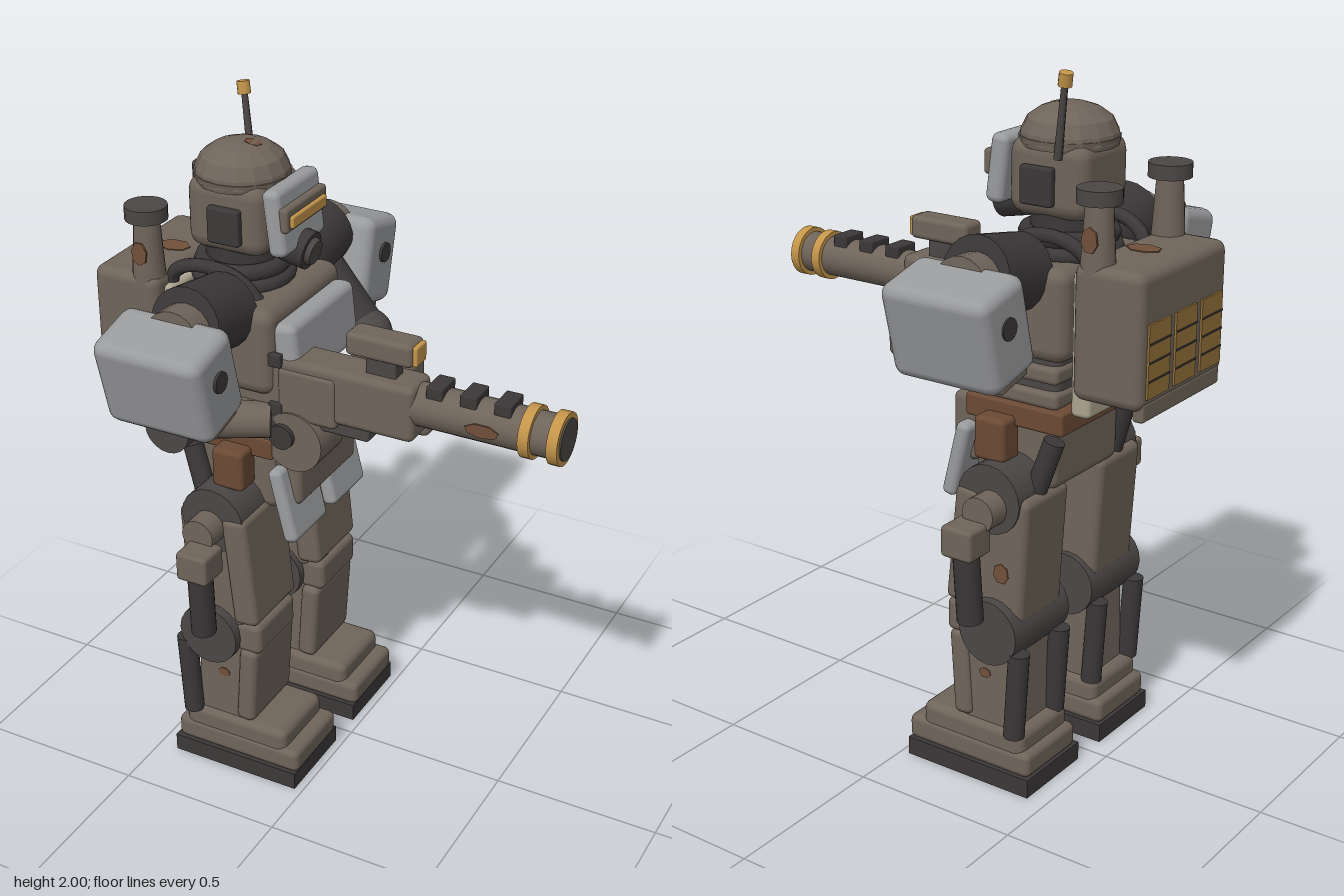
import * as THREE from 'three';
import { RoundedBoxGeometry } from 'three/addons/geometries/RoundedBoxGeometry.js';

const material = (name, color, flatShading = false) => {
  const m = new THREE.MeshStandardMaterial({ color, flatShading });
  m.name = name;
  return m;
};

export function createModel() {
  const root = new THREE.Group();
  root.name = 'armouredMech';
  const drab = material('drabArmour', 0x6f645a);
  const dark = material('darkMetal', 0x3c3839);
  const joint = material('jointMetal', 0x4b4746);
  const pale = material('greyPlate', 0x9a9b9d);
  const brass = material('brass', 0xc4954a);
  const grille = material('grilleBrass', 0x94733a);
  const leather = material('leather', 0x6b4a34);
  const rust = material('rust', 0x71503a);
  const beige = material('beigePad', 0xaca48f);
  const V = (x, y, z) => new THREE.Vector3(x, y, z);

  const add = (name, geo, mat, parent = root) => {
    const mesh = new THREE.Mesh(geo, mat);
    mesh.name = name;
    parent.add(mesh);
    return mesh;
  };
  // Rounded box given by its limits on each axis
  const box = (name, mat, [x0, x1], [y0, y1], [z0, z1], r = 0.02, parent = root) => {
    const w = x1 - x0, h = y1 - y0, d = z1 - z0;
    const rad = Math.min(r, w * 0.45, h * 0.45, d * 0.45);
    const geo = r ? new RoundedBoxGeometry(w, h, d, 2, rad) : new THREE.BoxGeometry(w, h, d);
    const mesh = add(name, geo, mat, parent);
    mesh.position.set((x0 + x1) / 2, (y0 + y1) / 2, (z0 + z1) / 2);
    return mesh;
  };
  // Cylinder or cone between two points
  const rod = (name, mat, a, b, r0, r1 = r0, parent = root, sides = 20) => {
    const p = V(...a), q = V(...b), dir = q.clone().sub(p);
    const mesh = add(name, new THREE.CylinderGeometry(r1, r0, dir.length(), sides), mat, parent);
    mesh.position.copy(p).add(q).multiplyScalar(0.5);
    mesh.quaternion.setFromUnitVectors(V(0, 1, 0), dir.normalize());
    return mesh;
  };
  const tube = (name, mat, points, r, parent = root) =>
    add(name, new THREE.TubeGeometry(new THREE.CatmullRomCurve3(points.map(p => V(...p))), 16, r, 8), mat, parent);
  // Thin irregular patch of rust facing along a normal
  const patch = (p, n, w, h, parent = root) => {
    const d = V(...n).multiplyScalar(0.003);
    const mesh = rod('rustPatch', rust, [p[0] - d.x, p[1] - d.y, p[2] - d.z],
      [p[0] + d.x, p[1] + d.y, p[2] + d.z], 1, 1, parent, 7);
    mesh.scale.set(w, 1, h);
  };

  // Head and helmet
  const head = new THREE.Group();
  head.name = 'head';
  root.add(head);
  box('skull', drab, [-0.455, -0.21], [1.6, 1.81], [-0.12, 0.12], 0.045, head);
  const domeProfile = [[0.135, 0], [0.132, 0.025], [0.115, 0.06], [0.08, 0.085], [0.04, 0.098], [0, 0.1]]
    .map(([x, y]) => new THREE.Vector2(x, y));
  add('helmetDome', new THREE.LatheGeometry(domeProfile, 16).toNonIndexed(), drab, head).position.set(-0.335, 1.795, 0);
  head.children.at(-1).geometry.computeVertexNormals();
  rod('helmetRim', drab, [-0.335, 1.785, 0], [-0.335, 1.81, 0], 0.132, 0.136, head);
  const face = box('facePlate', pale, [-0.205, -0.15], [1.62, 1.81], [-0.118, 0.118], 0.02, head);
  face.rotation.z = 0.12;
  box('visorSurround', drab, [-0.165, -0.135], [1.695, 1.765], [-0.112, 0.112], 0.01, head);
  box('visor', brass, [-0.15, -0.125], [1.707, 1.742], [-0.095, 0.095], 0.006, head);
  rod('breather', dark, [-0.2, 1.625, 0], [-0.125, 1.61, 0], 0.055, 0.055, head);
  rod('breatherCap', joint, [-0.13, 1.611, 0], [-0.11, 1.607, 0], 0.042, 0.035, head);
  for (const s of [-1, 1])
    box('earPlate', dark, [-0.37, -0.27], [1.64, 1.745], [s * 0.13 - 0.013, s * 0.13 + 0.013], 0.008, head);
  rod('antenna', joint, [-0.38, 1.77, -0.125], [-0.413, 1.98, -0.148], 0.012, 0.009, head, 8);
  rod('antennaTip', brass, [-0.411, 1.965, -0.146], [-0.417, 2.0, -0.15], 0.019, 0.019, head, 10);
  patch([-0.3, 1.89, 0.0], [0.2, 1, 0], 0.025, 0.02, head);

  // Neck
  rod('neck', dark, [-0.34, 1.46, 0], [-0.34, 1.62, 0], 0.105);
  for (const [y, r] of [[1.55, 0.115], [1.51, 0.125]]) {
    const ring = add('neckRing', new THREE.TorusGeometry(r, 0.024, 8, 24), dark);
    ring.rotation.x = Math.PI / 2;
    ring.position.set(-0.34, y, 0);
  }

  // Torso and waist
  box('torso', drab, [-0.46, -0.14], [1.24, 1.5], [-0.21, 0.21], 0.04);
  box('abdomen', joint, [-0.42, -0.16], [1.08, 1.27], [-0.17, 0.17], 0.03);
  for (const y of [1.13, 1.2]) box('abdomenBand', drab, [-0.43, -0.14], [y - 0.024, y + 0.024], [-0.19, 0.19], 0.015);
  const chest = box('chestPlate', pale, [-0.15, -0.075], [1.27, 1.46], [-0.18, 0.18], 0.025);
  chest.rotation.z = 0.1;
  box('belt', leather, [-0.46, -0.145], [1.045, 1.11], [-0.205, 0.205], 0.008);
  box('pelvis', drab, [-0.41, -0.15], [0.86, 1.06], [-0.17, 0.17], 0.03);
  box('groinArmour', drab, [-0.16, -0.075], [0.895, 1.09], [-0.17, 0.17], 0.02);

  // Backpack with grilles and exhausts
  box('backpack', drab, [-0.7, -0.49], [1.165, 1.535], [-0.222, 0.222], 0.03);
  box('backPad', beige, [-0.525, -0.465], [1.1, 1.5], [-0.18, 0.18], 0.015);
  for (const z of [-0.135, 0, 0.135]) {
    box('grille', grille, [-0.706, -0.699], [1.2, 1.4], [z - 0.054, z + 0.054], 0);
    for (let i = 0; i < 3; i++)
      box('grilleBar', dark, [-0.708, -0.704], [1.245 + i * 0.05, 1.25 + i * 0.05], [z - 0.054, z + 0.054], 0);
  }
  box('backpackFoot', drab, [-0.7, -0.665], [1.135, 1.19], [-0.2, 0.2], 0.01);
  patch([-0.57, 1.535, 0], [0, 1, 0], 0.05, 0.035);

  // Parts repeated on both sides
  for (const s of [-1, 1]) {
    const side = new THREE.Group();
    side.name = s > 0 ? 'gunSide' : 'supportSide';
    root.add(side);
    const span = (a, b) => (s > 0 ? [a, b] : [-b, -a]);
    const bx = (name, mat, x, y, a, b, r) => box(name, mat, x, y, span(a, b), r, side);
    const rd = (name, mat, a, b, r0, r1) =>
      rod(name, mat, [a[0], a[1], a[2] * s], [b[0], b[1], b[2] * s], r0, r1, side);

    rd('exhaust', drab, [-0.54, 1.5, 0.175], [-0.54, 1.7, 0.175], 0.048, 0.036);
    rd('exhaustCap', joint, [-0.54, 1.69, 0.175], [-0.54, 1.73, 0.175], 0.06);
    patch([-0.54, 1.6, s * 0.219], [0, 0, s], 0.025, 0.035, side);
    tube('neckHose', dark, [[-0.5, 1.46, s * 0.13], [-0.48, 1.53, s * 0.14], [-0.4, 1.57, s * 0.15],
      [-0.28, 1.55, s * 0.14], [-0.2, 1.46, s * 0.12]], 0.02, side);

    // Shoulder
    rd('shoulderJoint', dark, [-0.3, 1.47, 0.18], [-0.3, 1.505, 0.375], 0.106);
    rd('shoulderCap', drab, [-0.3, 1.48, 0.35], [-0.3, 1.485, 0.44], 0.085);
    const guard = bx('shoulderGuard', pale, [-0.47, -0.14], [1.26, 1.53], 0.36, 0.555, 0.035);
    guard.rotation.x = s * 0.25;
    const lip = bx('shoulderGuardLip', drab, [-0.45, -0.16], [1.25, 1.275], 0.35, 0.47, 0.01);
    lip.rotation.x = s * 0.25;
    rd('shoulderBolt', dark, [-0.475, 1.42, 0.47], [-0.132, 1.42, 0.47], 0.03);

    // Hip, pouch and skirt plate
    bx('pouch', leather, [-0.31, -0.21], [0.95, 1.075], 0.18, 0.262, 0.015);
    const skirt = bx('skirtPlate', pale, [-0.135, -0.09], [0.79, 1.02], 0.02, 0.215, 0.018);
    skirt.rotation.z = 0.24;
    rd('hipStrut', dark, [-0.42, 1.02, 0.18], [-0.35, 0.8, 0.2], 0.03);
    rd('hipJoint', joint, [-0.29, 0.86, 0.09], [-0.29, 0.86, 0.3], 0.1);
    rd('hipHub', drab, [-0.3, 0.84, 0.29], [-0.3, 0.84, 0.365], 0.05);

    // Side canister
    bx('canisterCollar', drab, [-0.33, -0.23], [0.73, 0.82], 0.34, 0.44, 0.012);
    const can = rd('canister', dark, [-0.28, 0.75, 0.39], [-0.285, 0.53, 0.375], 0.037);
    can.name = 'canister';

    // Leg
    const thigh = bx('thigh', drab, [-0.4, -0.2], [0.5, 0.88], 0.08, 0.295, 0.025);
    thigh.rotation.z = 0.06;
    const thighPlate = bx('thighPlate', drab, [-0.245, -0.165], [0.53, 0.88], 0.07, 0.308, 0.02);
    thighPlate.rotation.z = 0.1;
    rd('knee', joint, [-0.305, 0.475, 0.06], [-0.305, 0.475, 0.325], 0.095);
    bx('kneePlate', drab, [-0.23, -0.145], [0.43, 0.53], 0.085, 0.298, 0.02);
    const shin = bx('shin', drab, [-0.37, -0.18], [0.15, 0.46], 0.09, 0.29, 0.025);
    shin.rotation.z = -0.03;
    const shinPlate = bx('shinPlate', drab, [-0.225, -0.165], [0.18, 0.44], 0.07, 0.305, 0.02);
    shinPlate.rotation.z = -0.07;
    for (const z of [0.1, 0.3]) rd('calfPiston', dark, [-0.395, 0.43, z], [-0.38, 0.17, z], 0.03);
    bx('ankle', joint, [-0.35, -0.2], [0.12, 0.2], 0.1, 0.28, 0.02);
    patch([-0.275, 0.33, s * 0.29], [0, 0, s], 0.02, 0.015, side);
    patch([-0.33, 0.65, s * 0.295], [0, 0, s], 0.025, 0.03, side);

    // Foot
    bx('sole', dark, [-0.44, -0.025], [0, 0.055], 0.057, 0.32, 0);
    bx('toe', drab, [-0.435, -0.02], [0.05, 0.125], 0.065, 0.312, 0.02);
    bx('footTop', drab, [-0.41, -0.065], [0.06, 0.18], 0.07, 0.307, 0.025);
  }

  // Gun-side arm, bent back to the grip
  box('upperArm', drab, [-0.4, -0.24], [1.17, 1.4], [0.23, 0.37], 0.03);
  rod('elbow', joint, [-0.37, 1.175, 0.23], [-0.37, 1.175, 0.385], 0.07);
  rod('forearm', drab, [-0.37, 1.17, 0.29], [-0.15, 1.17, 0.19], 0.06, 0.05);
  box('gripHand', dark, [-0.2, -0.11], [1.12, 1.21], [0.1, 0.2], 0.02);

  // Support arm, reaching across to the gun
  rod('upperArm', dark, [-0.3, 1.43, -0.32], [-0.09, 1.25, -0.27], 0.075, 0.065);
  const elbow = add('elbow', new THREE.SphereGeometry(0.075, 16, 12), joint);
  elbow.position.set(-0.09, 1.25, -0.27);
  rod('forearm', dark, [-0.09, 1.25, -0.27], [0.22, 1.22, 0.04], 0.052, 0.042);
  box('forearmGuard', drab, [-0.05, 0.145], [1.15, 1.28], [-0.18, -0.05], 0.02);
  box('supportHand', drab, [0.19, 0.28], [1.17, 1.27], [-0.02, 0.09], 0.02);

  // Gun
  const gun = new THREE.Group();
  gun.name = 'gun';
  root.add(gun);
  const gy = 1.298, gz = 0.125;
  box('receiver', drab, [-0.3, 0.28], [1.2, 1.365], [0.065, 0.188], 0.02, gun);
  box('receiverCheek', drab, [-0.13, 0.05], [1.185, 1.34], [0.06, 0.194], 0.015, gun);
  box('lowerRail', joint, [-0.02, 0.14], [1.16, 1.21], [0.08, 0.17], 0.01, gun);
  rod('drum', drab, [-0.08, 1.12, 0.065], [-0.08, 1.12, 0.2], 0.09, 0.09, gun, 24);
  rod('drumHub', dark, [-0.11, 1.135, 0.2], [-0.11, 1.135, 0.215], 0.037, 0.037, gun);
  for (const y of [1.21, 1.36]) box('receiverCatch', dark, [-0.155, -0.115], [y - 0.02, y + 0.02], [0.18, 0.2], 0.005, gun);
  rod('barrel', drab, [0.26, gy, gz], [0.69, gy, gz], 0.061, 0.061, gun, 24);
  rod('muzzle', joint, [0.685, gy, gz], [0.7, gy, gz], 0.058, 0.058, gun, 24);
  for (const x of [0.6, 0.68]) rod('barrelRing', brass, [x - 0.015, gy, gz], [x + 0.015, gy, gz], 0.074, 0.074, gun, 24);
  for (const x of [0.332, 0.43, 0.528]) box('barrelVent', dark, [x - 0.024, x + 0.024], [1.335, 1.376], [0.083, 0.167], 0.004, gun);
  patch([0.48, 1.295, gz + 0.061], [0, 0, 1], 0.05, 0.02, gun);
  box('sightMount', joint, [0.12, 0.21], [1.35, 1.42], [0.1, 0.15], 0.005, gun);
  box('sight', drab, [0.065, 0.265], [1.412, 1.48], [0.085, 0.168], 0.015, gun);
  box('sightLens', brass, [0.26, 0.276], [1.418, 1.474], [0.097, 0.157], 0.005, gun);

  return root;
}
